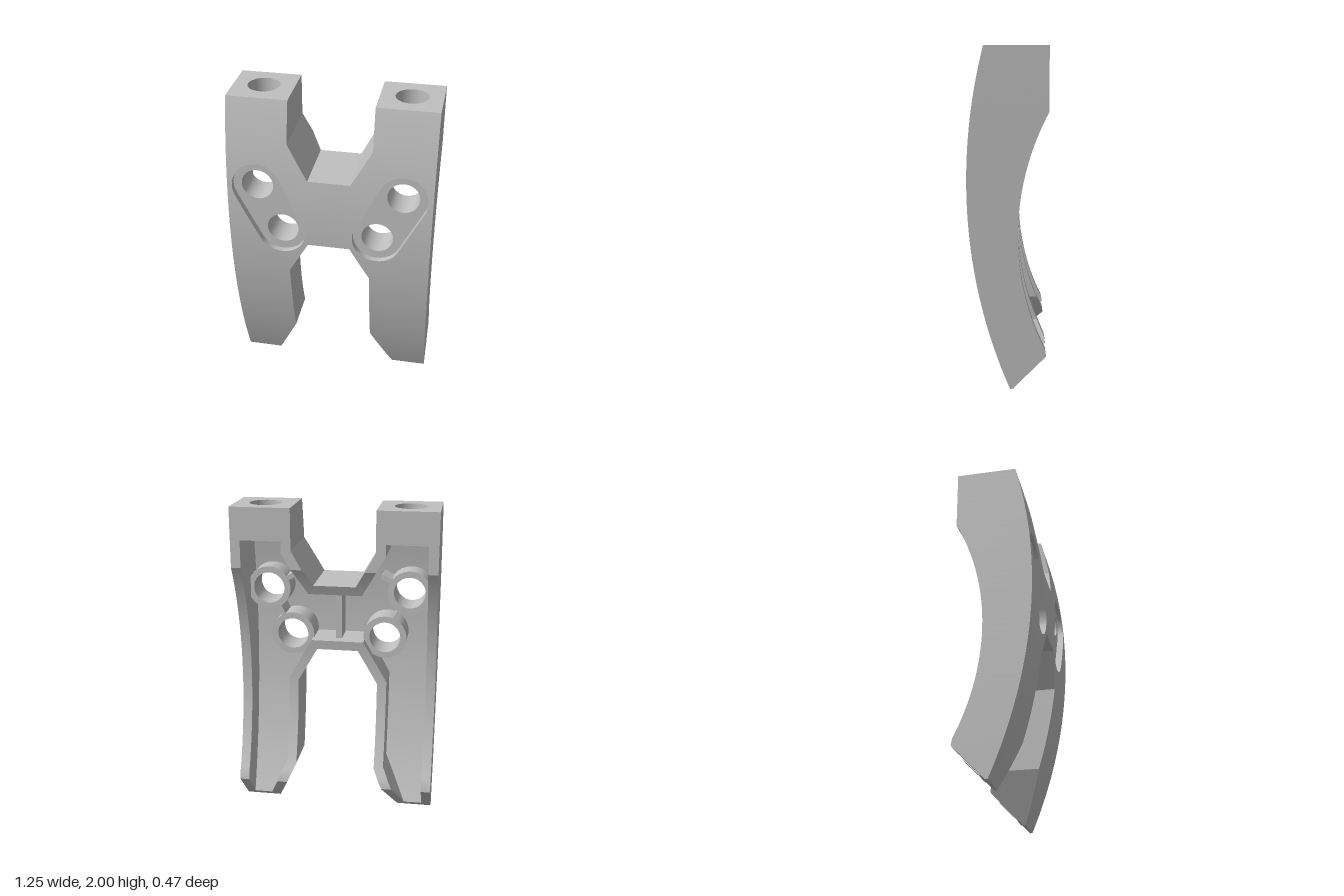
import * as THREE from 'three';
import { toCreasedNormals } from 'three/addons/utils/BufferGeometryUtils.js';

const grey = new THREE.MeshStandardMaterial({ color: 0xc0c0c0, side: THREE.DoubleSide });
grey.name = 'plainGrey';

// Side profile: depth of each curved surface at a given height
const frontZ = (y) => 0.235 - 3.1 + Math.sqrt(3.1 ** 2 - (y - 1.22) ** 2);
const floorZ = (y) => frontZ(y) - 0.08;
const backZ = (y) => {
  if (y >= 1.63) return -0.235;
  if (y < 0.2) return -0.03 - 0.98 * y;
  const arc = -0.06 - 1.53 + Math.sqrt(1.53 ** 2 - (y - 0.92) ** 2);
  return Math.max(arc, y < 1 ? -0.226 : -0.235);
};
const SLOT_Z = 0.19, BOSS_Z = -0.01, HOLE_R = 0.098, BOSS_R = 0.137;
const slotZ = () => SLOT_Z, bossZ = () => BOSS_Z;

// Heights at which curved surfaces are divided
const levels = [];
for (let i = 0; i <= 50; i++) levels.push(i * 0.04);
levels.push(1.63);
levels.sort((a, b) => a - b);

const v2 = (x, y) => new THREE.Vector2(x, y);

function makeGeometry(positions) {
  const g = new THREE.BufferGeometry();
  g.setAttribute('position', new THREE.Float32BufferAttribute(positions, 3));
  return toCreasedNormals(g, 0.35);
}

// Keeps the part of a polygon above (sign 1) or below (sign -1) a height
function clip(poly, h, sign) {
  const out = [];
  poly.forEach((p, i) => {
    const q = poly[(i + 1) % poly.length];
    const a = (p.y - h) * sign, b = (q.y - h) * sign;
    if (a >= 0) out.push(p);
    if ((a > 0 && b < 0) || (a < 0 && b > 0)) out.push(p.clone().lerp(q, a / (a - b)));
  });
  return out;
}

// Outline with holes, cut into bands and bent to a depth rule
function sheet(contour, holes, zAt, facing) {
  const all = [contour, ...holes].flat();
  const pos = [];
  for (const face of THREE.ShapeUtils.triangulateShape(contour, holes)) {
    let tri = face.map((i) => all[i]);
    if (THREE.ShapeUtils.area(tri) * facing < 0) tri = tri.reverse();
    for (let k = 0; k < levels.length - 1; k++) {
      const part = clip(clip(tri, levels[k], 1), levels[k + 1], -1);
      for (let i = 1; i < part.length - 1; i++) {
        const t = [part[0], part[i], part[i + 1]];
        if (Math.abs(THREE.ShapeUtils.area(t)) < 1e-9) continue;
        for (const p of t) pos.push(p.x, p.y, zAt(p.y));
      }
    }
  }
  return makeGeometry(pos);
}

// Wall along an outline between two depth rules; edges lying at skipY are left open
function wall(contour, zA, zB, skipY = -1) {
  const pos = [];
  contour.forEach((p, i) => {
    const q = contour[(i + 1) % contour.length];
    if (p.y === skipY && q.y === skipY) return;
    const cuts = [0, 1];
    for (const h of levels) {
      const t = (h - p.y) / (q.y - p.y);
      if (t > 1e-4 && t < 1 - 1e-4) cuts.push(t);
    }
    cuts.sort((a, b) => a - b);
    for (let k = 0; k < cuts.length - 1; k++) {
      const a = p.clone().lerp(q, cuts[k]), b = p.clone().lerp(q, cuts[k + 1]);
      const aA = [a.x, a.y, zA(a.y)], bA = [b.x, b.y, zA(b.y)];
      const aB = [a.x, a.y, zB(a.y)], bB = [b.x, b.y, zB(b.y)];
      pos.push(...aA, ...bA, ...bB, ...aA, ...bB, ...aB);
    }
  });
  return makeGeometry(pos);
}

// Counter-clockwise outlines
const mirrored = (half) => [...half, ...half.map((p) => v2(-p.x, p.y)).reverse()];
function circle(x, y, r, n = 40) {
  return Array.from({ length: n }, (_, i) => {
    const a = (i / n) * Math.PI * 2;
    return v2(x + r * Math.cos(a), y + r * Math.sin(a));
  });
}
function capsule(a, b, r, n = 20) {
  const th = Math.atan2(a.y - b.y, a.x - b.x) - Math.PI / 2;
  const out = [];
  [a, b].forEach((c, k) => {
    for (let i = 0; i <= n; i++) {
      const t = th + k * Math.PI + (i / n) * Math.PI;
      out.push(v2(c.x + r * Math.cos(t), c.y + r * Math.sin(t)));
    }
  });
  return out;
}

// Level plate with a round hole
function plate(y, x0, x1, z0, z1, hx, up) {
  const k = up ? -1 : 1;
  const s = new THREE.Shape([v2(x0, k * z0), v2(x1, k * z0), v2(x1, k * z1), v2(x0, k * z1)]);
  s.holes.push(new THREE.Path(circle(hx, k * -0.053, HOLE_R)));
  return new THREE.ShapeGeometry(s).rotateX(k * Math.PI / 2).translate(0, y, 0);
}

export function createModel() {
  const group = new THREE.Group();
  const add = (name, geometry) => {
    const m = new THREE.Mesh(geometry, grey);
    m.name = name;
    group.add(m);
    return m;
  };

  const outline = mirrored([
    v2(0.13, 1.08), v2(0.255, 0.86), v2(0.255, 0.32), v2(0.4, 0), v2(0.625, 0),
    v2(0.625, 2), v2(0.255, 2), v2(0.255, 1.745), v2(0.13, 1.525),
  ]);
  const pocket = mirrored([
    v2(0.165, 1.14), v2(0.315, 0.876), v2(0.315, 0.335), v2(0.448, 0.04), v2(0.565, 0.04),
    v2(0.565, 1.8), v2(0.315, 1.8), v2(0.315, 1.728), v2(0.165, 1.465),
  ]);
  const slots = [], bores = [], bosses = [];
  for (const s of [1, -1]) {
    const top = v2(s * 0.445, 1.455), low = v2(s * 0.295, 1.16);
    slots.push({ edge: capsule(top, low, 0.15), holes: [top, low].map((c) => circle(c.x, c.y, HOLE_R)) });
    for (const c of [top, low]) {
      bores.push(circle(c.x, c.y, HOLE_R));
      bosses.push(circle(c.x, c.y, BOSS_R));
    }
  }

  // Hollow shell, open at the back
  add('frontFace', sheet(outline, slots.map((s) => s.edge), frontZ, 1));
  add('outerWalls', wall(outline, backZ, frontZ, 2));
  add('backRim', sheet(outline, [pocket], backZ, -1));
  add('pocketWalls', wall(pocket, floorZ, backZ, 1.8));
  add('pocketFloor', sheet(pocket, bores, floorZ, -1));

  // Recessed slots on the front
  for (const s of slots) {
    add('slotWall', wall(s.edge, frontZ, slotZ));
    add('slotFloor', sheet(s.edge, s.holes, slotZ, 1));
  }

  // Bored bosses inside the pocket
  bores.forEach((bore, i) => {
    add('bore', wall(bore, slotZ, bossZ));
    add('bossSide', wall(bosses[i], bossZ, floorZ));
    add('bossEnd', sheet(bosses[i], [bore], bossZ, -1));
  });

  for (const s of [1, -1]) {
    // Column tops with vertical holes
    const x0 = s > 0 ? 0.255 : -0.625, hx = s * 0.442;
    add('columnTop', plate(2, x0, x0 + 0.37, -0.235, frontZ(2), hx, true));
    const c0 = s > 0 ? 0.315 : -0.565;
    add('pocketCeiling', plate(1.8, c0, c0 + 0.25, -0.235, floorZ(1.8), hx, false));
    const hole = new THREE.CylinderGeometry(HOLE_R, HOLE_R, 0.2, 40, 1, true);
    add('topHole', hole).position.set(hx, 1.9, -0.053);

    // Webs beside the bosses
    const web = add('bossWeb', new THREE.BoxGeometry(0.03, 0.075, 0.17));
    web.position.set(s * 0.37, 1.3075, 0.08);
    web.rotation.z = -s * 0.47;
    const fin = add('bossFin', new THREE.BoxGeometry(0.07, 0.03, 0.17));
    fin.position.set(s * 0.3, 1.535, 0.08);
    fin.rotation.z = -s * 0.5;
  }

  // Rib across the middle of the bridge
  add('centreRib', new THREE.BoxGeometry(0.04, 0.34, 0.17)).position.set(0, 1.3025, 0.08);
  return group;
}
